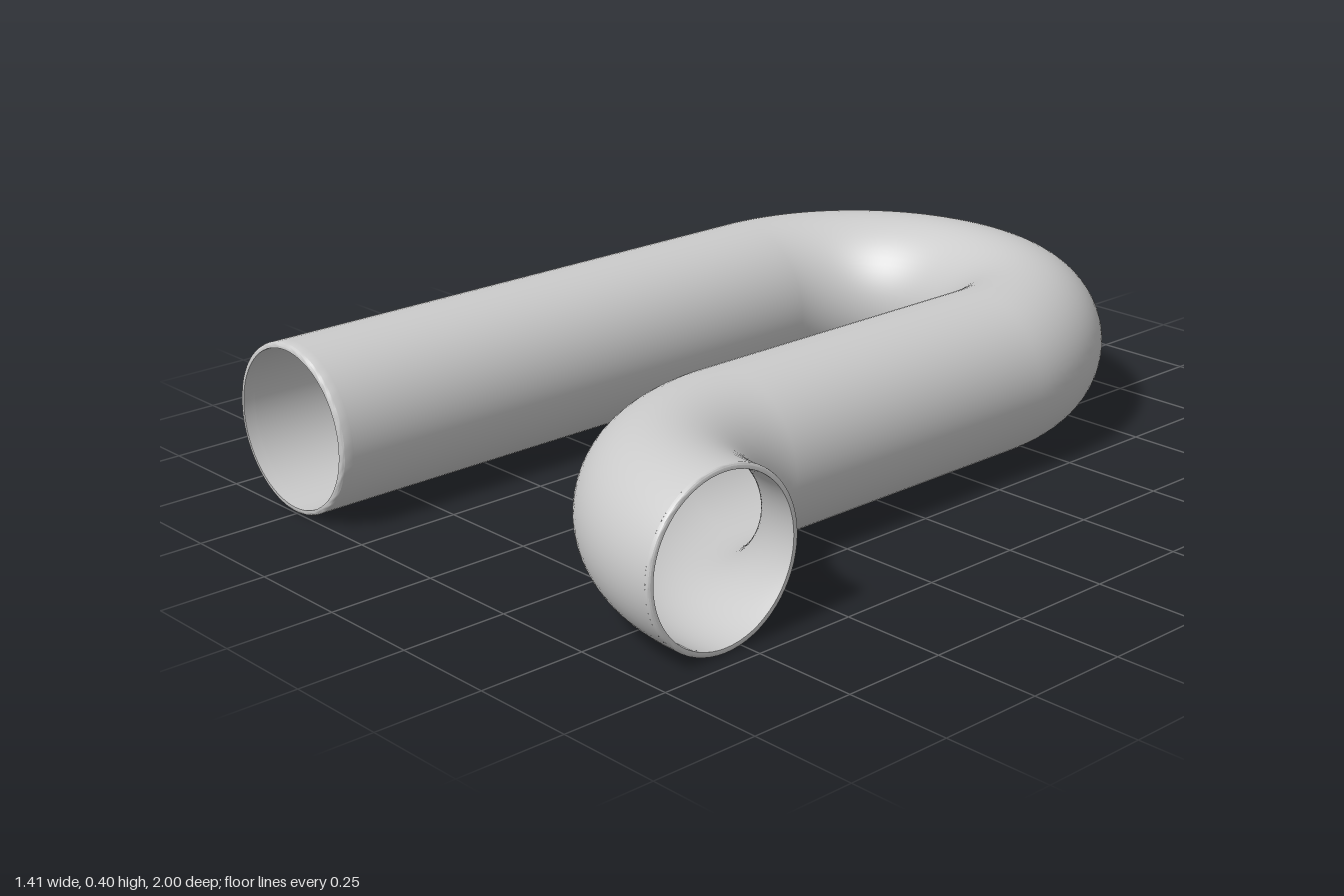
import * as THREE from 'three';
import { toCreasedNormals } from 'three/addons/utils/BufferGeometryUtils.js';

const R = 0.2;        // outer pipe radius
const INNER = 0.187;  // bore radius
const BEND = 0.4;     // centreline bend radius
const SIDES = 64;

// Flat centreline: long leg, U-bend, short leg, quarter elbow
class Centreline extends THREE.Curve {
  constructor() {
    super();
    this.path = new THREE.Path();
    this.path.moveTo(-0.505, 0.97);
    this.path.lineTo(-0.505, -0.4);
    this.path.absarc(-0.105, -0.4, BEND, Math.PI, 2 * Math.PI, false);
    this.path.lineTo(0.295, 0.4);
    this.path.absarc(0.695, 0.4, BEND, Math.PI, Math.PI / 2, true);
  }
  getPoint(t, target = new THREE.Vector3()) {
    const p = this.path.getPoint(t);
    return target.set(p.x, R, p.y);
  }
}

// Bevelled open lip that joins the outer wall to the bore
function lip(length, bevel) {
  const profile = [
    [R, 0], [R, length - bevel], [R - bevel * 0.3, length - bevel * 0.3],
    [R - bevel, length], [INNER, length], [INNER, 0],
  ].map(([x, y]) => new THREE.Vector2(x, y));
  return toCreasedNormals(new THREE.LatheGeometry(profile, SIDES), 0.9);
}

export function createModel() {
  const group = new THREE.Group();
  group.name = 'bentPipe';
  const grey = new THREE.MeshStandardMaterial({ color: 0xcccccc });
  const boreGrey = new THREE.MeshStandardMaterial({ color: 0xcccccc, side: THREE.BackSide });
  const lipGrey = new THREE.MeshStandardMaterial({ color: 0xcccccc, side: THREE.DoubleSide });

  const add = (name, geometry, material) => {
    const mesh = new THREE.Mesh(geometry, material);
    mesh.name = name;
    group.add(mesh);
    return mesh;
  };

  // Outer wall and hollow bore
  const line = new Centreline();
  add('outerWall', new THREE.TubeGeometry(line, 180, R, SIDES), grey);
  add('innerWall', new THREE.TubeGeometry(line, 180, INNER, SIDES), boreGrey);

  // Lips on the two open ends
  const legLip = add('legLip', lip(0.03, 0.007), lipGrey);
  legLip.position.set(-0.505, R, 0.97);
  legLip.rotation.x = Math.PI / 2;

  const elbowLip = add('elbowLip', lip(0.01, 0.005), lipGrey);
  elbowLip.position.set(0.695, R, 0.8);
  elbowLip.rotation.z = -Math.PI / 2;

  return group;
}
